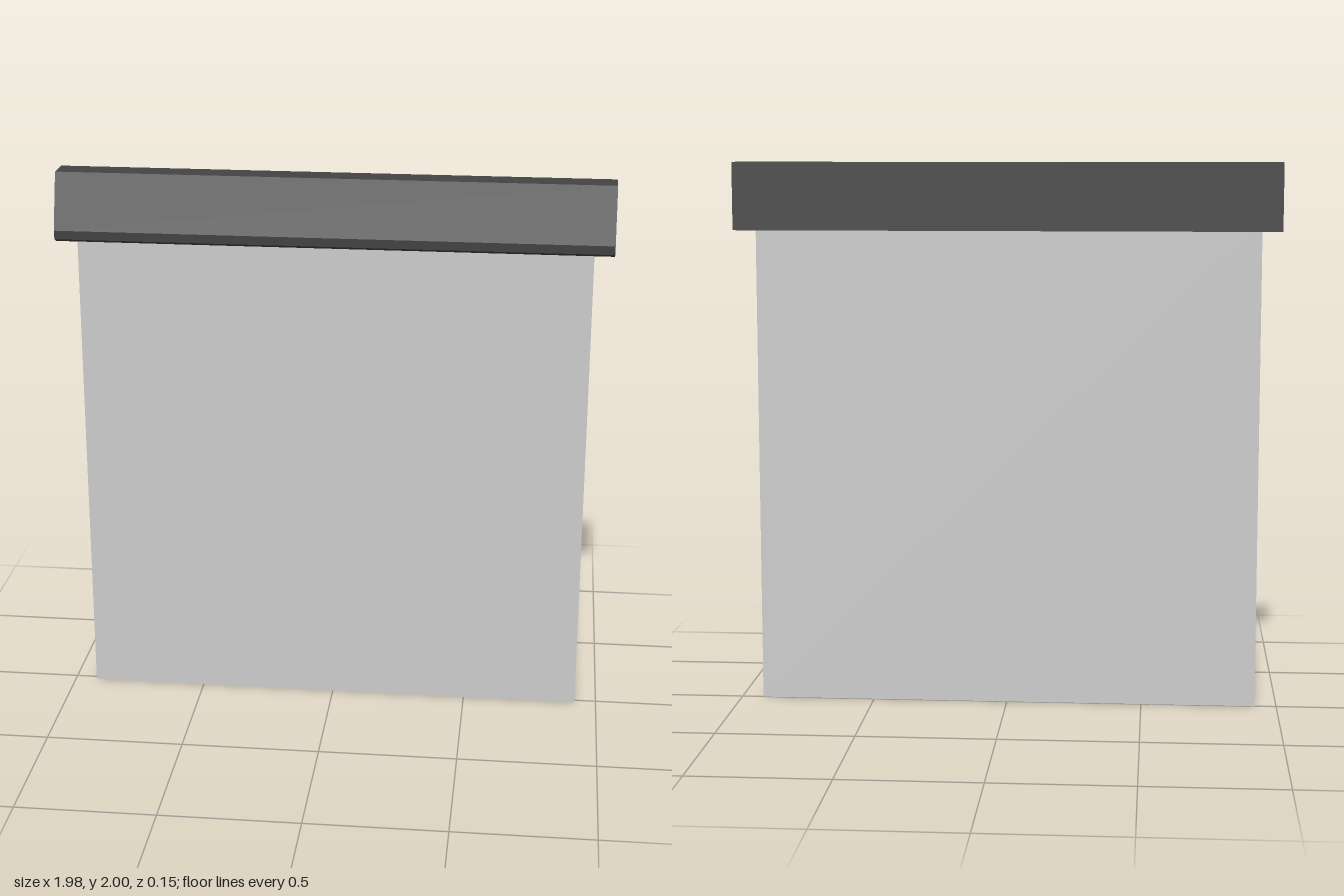
import * as THREE from 'three';

export function createModel() {
  const model = new THREE.Group();
  const casingGrey = new THREE.MeshStandardMaterial({ color: 0x444444 });
  casingGrey.name = 'casing dark grey';
  const screenGrey = new THREE.MeshStandardMaterial({ color: 0xcccccc });
  screenGrey.name = 'screen light grey';

  // Casing: side profile (z, y) extruded along x
  const profile = [
    [-0.077, 1.755], [0.048, 1.755], [0.074, 1.768],
    [0.077, 1.8], [0.018, 2], [-0.077, 2],
  ].map(([z, y]) => new THREE.Vector2(z, y));
  const width = 1.98;
  const casingGeometry = new THREE.ExtrudeGeometry(new THREE.Shape(profile), {
    depth: width, bevelEnabled: false,
  });
  casingGeometry.rotateY(-Math.PI / 2).translate(width / 2, 0, 0);
  const casing = new THREE.Mesh(casingGeometry, casingGrey);
  casing.name = 'casing';

  // Hanging screen: thin sheet running up into the casing
  const screen = new THREE.Mesh(new THREE.BoxGeometry(1.84, 1.78, 0.021), screenGrey);
  screen.position.set(0, 0.89, 0.008);
  screen.name = 'screen';

  model.add(casing, screen);
  return model;
}
